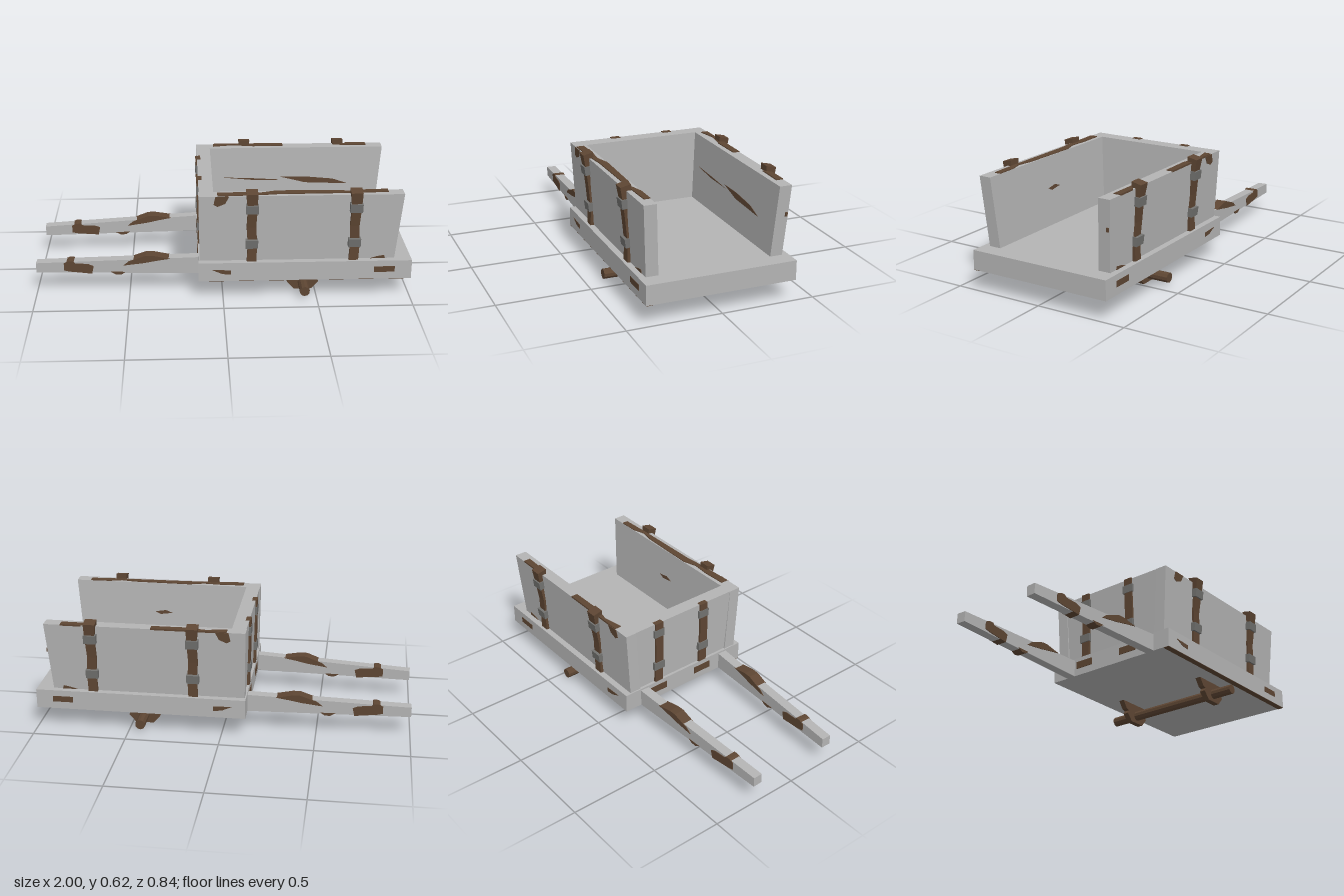
import * as THREE from 'three';

const mat = (name, color) => Object.assign(new THREE.MeshStandardMaterial({ color, flatShading: true }), { name });
const board = mat('greyBoard', 0xb4b4b4);
const wood = mat('bareWood', 0x5e4633);
const iron = mat('ironBand', 0x727270);

export function createModel() {
  const cart = new THREE.Group();
  cart.name = 'handcart';

  const add = (name, geo, material, parent = cart) => {
    const m = new THREE.Mesh(geo, material);
    m.name = name;
    parent.add(m);
    return m;
  };
  // Box given by its limits
  const box = (name, x0, x1, y0, y1, z0, z1, material, parent) => {
    const g = new THREE.BoxGeometry(x1 - x0, y1 - y0, z1 - z0);
    g.translate((x0 + x1) / 2, (y0 + y1) / 2, (z0 + z1) / 2);
    return add(name, g, material, parent);
  };
  // Upright piece: unit box with each vertex placed by rule(u, t, w), u and w in -0.5..0.5, t in 0..1
  const warp = (name, material, segs, rule) => {
    const g = new THREE.BoxGeometry(1, 1, 1, 1, segs, 1);
    const p = g.attributes.position;
    for (let i = 0; i < p.count; i++) p.setXYZ(i, ...rule(p.getX(i), p.getY(i) + 0.5, p.getZ(i)));
    g.computeVertexNormals();
    return add(name, g, material);
  };
  // Plate cut from an outline, centred on its own plane
  const plate = (name, pts, depth, material, parent) => {
    const g = new THREE.ExtrudeGeometry(new THREE.Shape(pts.map(a => new THREE.Vector2(...a))), { depth, bevelEnabled: false });
    g.translate(0, 0, -depth / 2);
    return add(name, g, material, parent);
  };
  const rect = (x0, x1, y0, y1) => [[x0, y0], [x1, y0], [x1, y1], [x0, y1]];

  const base = 0.215, height = 0.375, lean = 0.022;

  // Bed
  box('bed', -0.13, 1, 0.11, base, -0.4, 0.4, board);
  box('bedUndersideWear', -0.13, 1, 0.108, 0.112, 0.365, 0.399, wood);

  // End wall, leaning out toward the handles
  warp('endWall', board, 1, (u, t, w) =>
    [u < 0 ? -0.115 - 0.011 * t : -0.03 - 0.02 * t, base + height * t, w * 2 * (0.31 + lean * t)]);

  for (const s of [1, -1]) {
    // Side wall
    warp('sideWall', board, 1, (u, t, w) => [
      u < 0 ? -0.123 - 0.005 * t : 0.91 + 0.03 * t,
      base + height * t,
      s * 0.333 + w * 0.066 + s * lean * t,
    ]);

    // Side stakes with iron bands
    const mid = [0.367, 0.368, 0.373, 0.382, 0.392], half = [0.017, 0.015, 0.017, 0.021, 0.027];
    const shift = [0, 0.004, -0.003, 0.002, -0.002];
    for (const x of [0.15, 0.69]) {
      warp('sideStake', wood, 4, (u, t, w) => {
        const i = Math.round(t * 4);
        return [x + shift[i] + u * (0.05 + 0.012 * (i === 4)), base + 0.4 * t + 0.012 * (i === 4 ? -w * s : 0), s * mid[i] + w * 2 * half[i]];
      });
      for (const [y, z] of [[0.32, 0.378], [0.523, 0.394]]) {
        const b = box('sideBand', -0.033, 0.033, -0.024, 0.024, -0.019, 0.019, iron);
        b.position.set(x, y, s * z);
        b.rotation.x = s * 0.12;
      }
    }

    // Worn patches on the bed edge
    plate('bedEdgeWear', [[-0.06, 0.177], [0.04, 0.172], [0.04, 0.148], [-0.005, 0.152]], 0.004, wood).position.z = s * 0.4;
    plate('bedEdgeWear', rect(0.8, 0.91, 0.15, 0.182), 0.004, wood).position.z = s * 0.4;

    // Worn patches on the outer wall face
    const face = new THREE.Group();
    face.name = 'wallWear';
    face.position.set(0, base, s * 0.366);
    face.rotation.x = s * 0.0586;
    cart.add(face);
    plate('cornerWear', [[-0.04, 0.375], [0.03, 0.375], [0.01, 0.335], [-0.03, 0.318], [-0.05, 0.33]], 0.006, wood, face);
    plate('footWear', [[0.78, 0], [0.86, 0], [0.855, 0.018], [0.82, 0.012]], 0.006, wood, face);

    // Handle, narrowing in height and angled inward
    const handle = new THREE.Group();
    handle.name = 'handle';
    handle.position.z = s * 0.2805;
    handle.rotation.y = -s * 0.0425;
    cart.add(handle);
    plate('handleBar', [[-1, 0.11], [-0.12, 0.11], [-0.12, 0.205], [-1, 0.165]], 0.052, board, handle);
    plate('handleWear', [[-0.53, 0.155], [-0.5, 0.18], [-0.41, 0.213], [-0.37, 0.213], [-0.28, 0.196],
      [-0.35, 0.184], [-0.42, 0.17]], 0.06, wood, handle);
    plate('handleGripWear', [[-0.85, 0.125], [-0.82, 0.118], [-0.7, 0.106], [-0.69, 0.15], [-0.72, 0.162],
      [-0.79, 0.166], [-0.8, 0.178], [-0.825, 0.178], [-0.85, 0.166]], 0.06, wood, handle);
    plate('handleUnderWear', [[-0.6, 0.116], [-0.57, 0.099], [-0.54, 0.102], [-0.52, 0.116]], 0.056, wood, handle);

    // Axle bracket
    const prof = [[0.126, 0.112], [0.118, 0.1], [0.095, 0.066], [0.075, 0.06], [0.085, 0.042], [0.048, 0]];
    const outline = [...prof.map(([x, y]) => [0.435 - x, y]), ...prof.slice().reverse().map(([x, y]) => [0.435 + x, y])];
    plate('axleBracket', outline, 0.032, wood).position.z = s * 0.272;
  }

  // Worn rims along the wall tops
  const rim = pts => {
    const m = plate('rimWear', pts, 0.009, wood);
    m.rotation.x = Math.PI / 2;
    m.position.y = base + height;
  };
  rim([[-0.03, 0.345], [0.1, 0.34], [0.2, 0.348], [0.28, 0.324], [0.6, 0.33], [0.68, 0.345], [0.75, 0.324],
    [0.86, 0.322], [0.86, 0.355], [0.7, 0.362], [0.28, 0.366], [0.2, 0.375], [-0.03, 0.386]]);
  rim([[-0.03, -0.388], [0.37, -0.388], [0.37, -0.352], [0.2, -0.35], [0.08, -0.37], [-0.03, -0.35]]);
  rim([[0.7, -0.353], [0.74, -0.388], [0.85, -0.388], [0.85, -0.35]]);

  // Splits on the inner wall faces
  const inner = (s, pts) => {
    const m = plate('boardSplit', pts, 0.004, wood);
    m.position.set(0, base, s * 0.3);
    m.rotation.x = s * 0.0586;
  };
  inner(-1, [[0.36, 0.2], [0.5, 0.165], [0.75, 0.155], [0.66, 0.185], [0.5, 0.2]]);
  inner(-1, [[0.02, 0.2], [0.2, 0.183], [0.38, 0.182], [0.2, 0.193]]);
  inner(1, [[0.38, 0.2], [0.45, 0.19], [0.48, 0.205], [0.42, 0.215]]);

  // Peg near the open end
  box('peg', 0.9, 0.935, 0.427, 0.448, -0.374, -0.362, wood);

  // End wall stakes with bands, and wear on the bed below them
  for (const z of [-0.175, 0.13]) {
    warp('endStake', wood, 2, (u, t, w) => [-0.115 - 0.006 * t + u * 0.028, base + 0.378 * t, z + w * 0.05 + (t === 0.5 ? 0.004 : 0)]);
    for (const y of [0.32, 0.53])
      box('endBand', -0.136, -0.11, y - 0.023, y + 0.023, z - 0.033, z + 0.033, iron);
    box('bedEndWear', -0.133, -0.125, 0.15, 0.19, z - 0.06, z + 0.05, wood);
  }

  // Axle
  const axle = new THREE.CylinderGeometry(0.027, 0.027, 0.824, 10);
  axle.rotateX(Math.PI / 2);
  add('axle', axle, wood).position.set(0.435, 0.045, 0);

  return cart;
}
